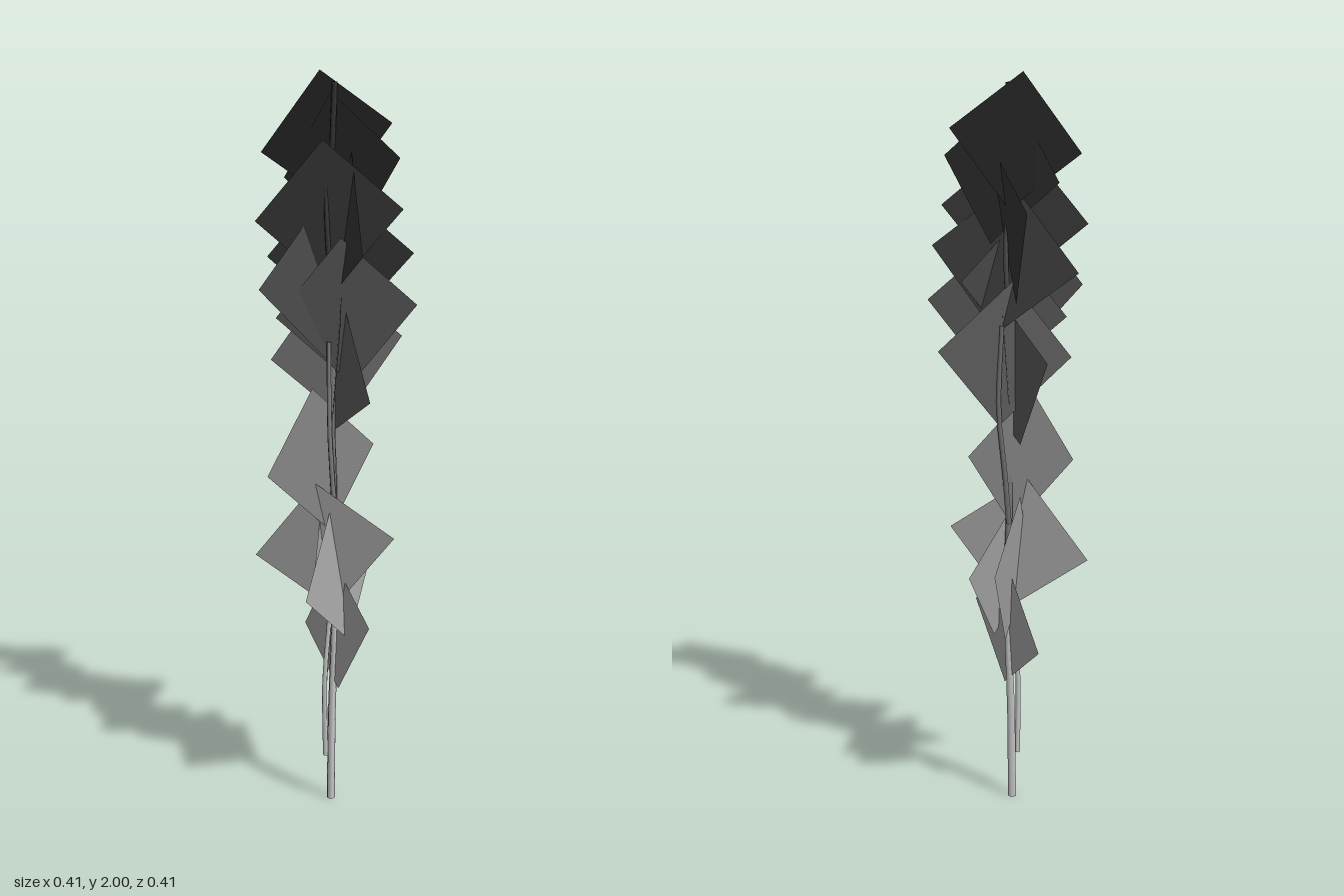
import * as THREE from 'three';

// Grey that darkens with height
function shade(y) {
  const v = THREE.MathUtils.clamp(0.95 - 0.45 * y, 0.05, 0.8);
  return new THREE.MeshStandardMaterial({ color: new THREE.Color().setRGB(v, v, v, THREE.SRGBColorSpace), side: THREE.DoubleSide });
}

// Diamond leaf card hung between two side corners, leaning across its own plane
function leafCard(p, q, lean, half = 0.195) {
  const a = new THREE.Vector3(...p), b = new THREE.Vector3(...q);
  const mid = a.clone().add(b).multiplyScalar(0.5);
  const along = b.clone().sub(a).normalize();
  const across = new THREE.Vector3(-along.z, 0, along.x).normalize();
  const up = new THREE.Vector3().crossVectors(along, across).normalize();
  if (up.y < 0) up.negate();
  up.y += 0.6;
  up.normalize();
  const top = mid.clone().addScaledVector(up, half).addScaledVector(across, lean);
  const bottom = mid.clone().addScaledVector(up, -half).addScaledVector(across, -lean);
  const geometry = new THREE.BufferGeometry().setFromPoints([a, bottom, b, top]);
  geometry.setIndex([0, 1, 3, 1, 2, 3]);
  geometry.computeVertexNormals();
  const mesh = new THREE.Mesh(geometry, shade(mid.y));
  mesh.name = 'leafCard';
  return mesh;
}

// Thin five-sided stem that narrows towards its tip
function stem(name, points, r0, r1) {
  const curve = new THREE.CatmullRomCurve3(points.map(p => new THREE.Vector3(...p)));
  const rings = points.length * 2, sides = 5;
  const geometry = new THREE.TubeGeometry(curve, rings, 1, sides);
  const pos = geometry.attributes.position, v = new THREE.Vector3();
  for (let i = 0; i < pos.count; i++) {
    const t = Math.floor(i / (sides + 1)) / rings;
    const c = curve.getPointAt(t);
    v.fromBufferAttribute(pos, i).sub(c).multiplyScalar(THREE.MathUtils.lerp(r0, r1, t)).add(c);
    pos.setXYZ(i, v.x, v.y, v.z);
  }
  const mesh = new THREE.Mesh(geometry, shade((points[0][1] + points.at(-1)[1]) / 2));
  mesh.name = name;
  return mesh;
}

export function createModel() {
  const model = new THREE.Group();
  model.name = 'tallPlant';

  // Main stem in three lengths
  model.add(
    stem('lowerStem', [[-0.015, 0, 0], [-0.012, 0.25, 0], [-0.003, 0.5, 0], [-0.005, 0.7, 0.005]], 0.012, 0.01),
    stem('middleStem', [[-0.005, 0.7, 0.005], [-0.01, 0.9, 0.01], [-0.015, 1.1, 0.01], [-0.005, 1.35, 0]], 0.01, 0.009),
    stem('upperStem', [[-0.005, 1.35, 0], [-0.02, 1.6, 0.015], [-0.02, 1.8, 0.02], [-0.015, 1.97, 0.025]], 0.009, 0.008),
  );

  // Branches that climb beside it
  const branches = [
    [[-0.03, 0.13, 0], [-0.03, 0.35, -0.005], [-0.015, 0.5, -0.01], [-0.01, 0.7, 0]],
    [[0, 0.6, 0.01], [-0.015, 0.85, 0.02], [-0.03, 1.05, 0.025], [-0.035, 1.3, 0.03]],
    [[0, 0.8, -0.01], [0.015, 0.95, -0.015], [0.035, 1.12, -0.02], [0.035, 1.35, -0.04]],
    [[-0.01, 1.2, 0], [0.01, 1.35, -0.03], [0.02, 1.55, -0.03], [0, 1.7, -0.01]],
    [[-0.015, 1.4, 0.01], [-0.035, 1.6, 0.02], [-0.035, 1.8, 0.01]],
  ];
  for (const b of branches) model.add(stem('branch', b, 0.008, 0.006));

  // Leaf cards: two side corners, lean and half height of each card
  const cards = [
    [[0.02, 0.54, 0.16], [-0.02, 0.47, -0.15], 0.01, 0.175],
    [[-0.15, 0.63, 0.125], [0.145, 0.68, -0.065], -0.02, 0.185],
    [[-0.115, 0.65, 0.095], [0.12, 0.71, -0.17], -0.015, 0.2],
    [[-0.185, 0.7, -0.115], [0.11, 0.77, 0.13], 0.015, 0.18],
    [[-0.205, 0.95, 0.01], [0.12, 1.0, -0.01], -0.015],
    [[0.01, 1.16, 0.18], [-0.022, 1.27, -0.19], 0.01],
    [[-0.165, 1.25, -0.05], [0.205, 1.29, -0.01], -0.015],
    [[-0.09, 1.35, 0.205], [0.07, 1.19, -0.145], 0.015],
    [[-0.205, 1.44, -0.035], [0.12, 1.46, 0.03], -0.015],
    [[-0.15, 1.36, -0.05], [0.165, 1.4, 0.145], 0.015],
    [[-0.105, 1.5, -0.2], [0.14, 1.54, 0.17], 0.025],
    [[-0.015, 1.54, 0.185], [0.045, 1.66, -0.205], 0.02, 0.21],
    [[-0.185, 1.61, -0.1], [0.125, 1.65, 0.14], 0.015],
    [[-0.1, 1.72, -0.1], [0.12, 1.78, 0.13], 0.02],
    [[-0.175, 1.79, -0.08], [0.155, 1.86, 0.02], 0.02, 0.175],
  ];
  const foliage = new THREE.Group();
  foliage.name = 'foliage';
  for (const c of cards) foliage.add(leafCard(...c));
  model.add(foliage);
  return model;
}
